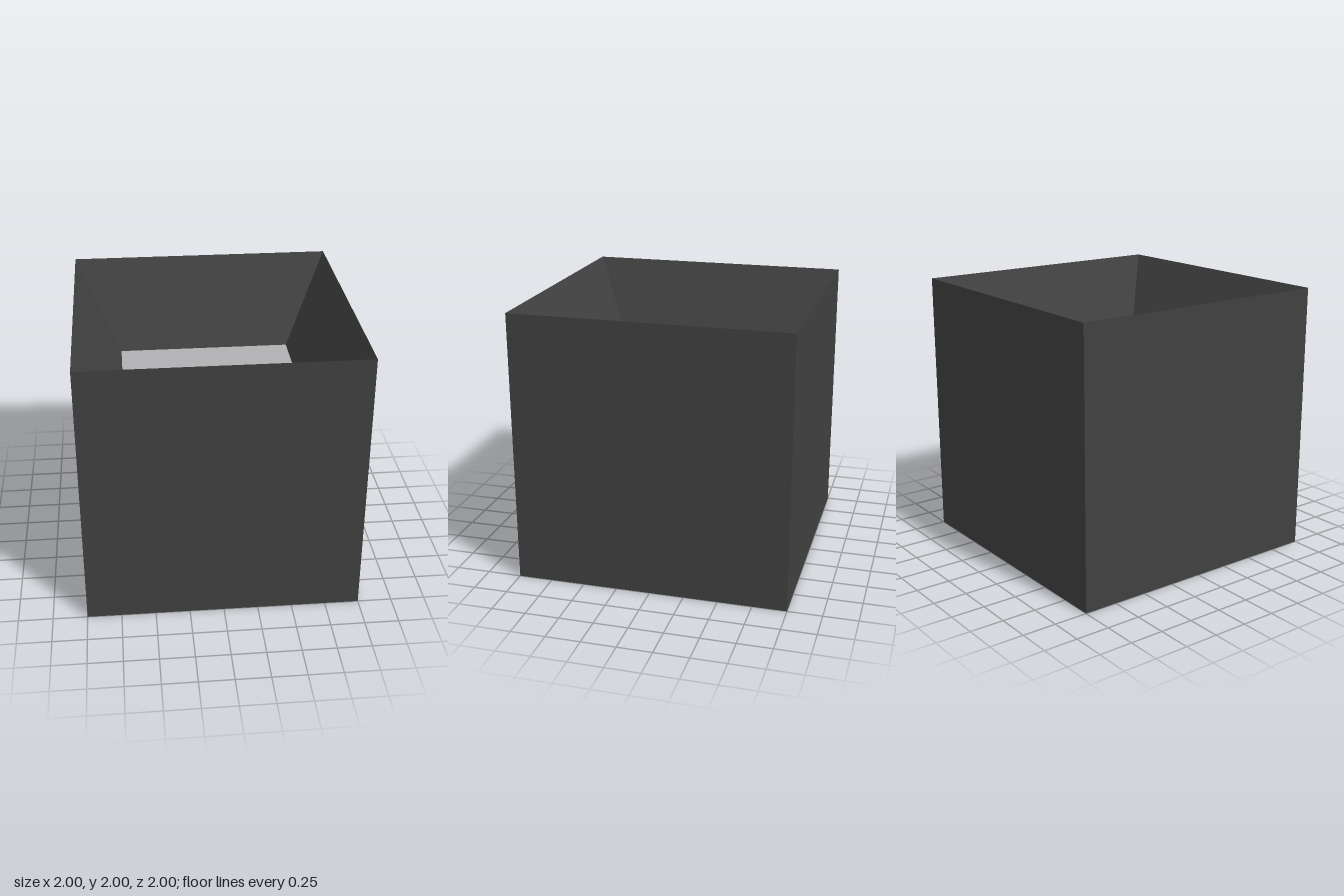
import * as THREE from 'three';

const dark = new THREE.MeshStandardMaterial({ name: 'charcoal', color: 0x404040 });
const grey = new THREE.MeshStandardMaterial({ name: 'light grey', color: 0xb0b0b2 });

// Sweeps a profile of [half width, height] points round a square, with flat faces
function squareRing(name, profile, material) {
  const points = profile.map(([half, y]) => new THREE.Vector2(half * Math.SQRT2, y));
  const geometry = new THREE.LatheGeometry(points, 4, Math.PI / 4).toNonIndexed();
  geometry.computeVertexNormals();
  const mesh = new THREE.Mesh(geometry, material);
  mesh.name = name;
  return mesh;
}

export function createModel() {
  const outer = 1, inner = 2 / 3, hole = 1 / 3;
  const height = 2, low = 2 / 3, high = 4 / 3;

  const group = new THREE.Group();
  group.name = 'hollowCube';
  group.add(
    // Four plain outer sides
    squareRing('outerWalls', [[outer, 0], [outer, height]], dark),
    // Sloping funnels sunk into the top and the underside
    squareRing('topFunnel', [[outer, height], [inner, high]], dark),
    squareRing('bottomFunnel', [[inner, low], [outer, 0]], dark),
    // Inner slab with a square shaft straight through it
    squareRing('innerFrame', [[inner, high], [hole, high], [hole, low], [inner, low]], grey),
  );
  return group;
}
